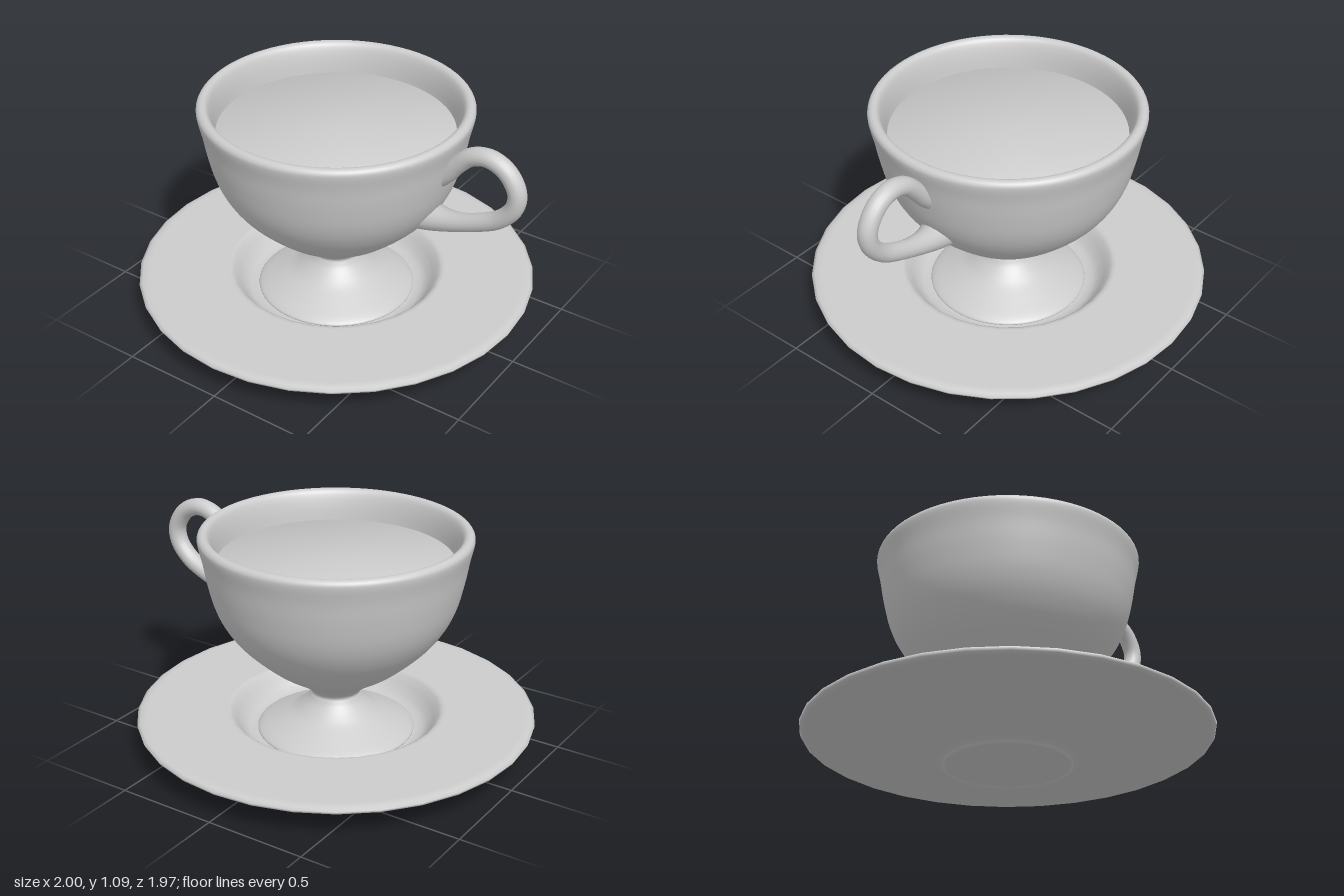
import * as THREE from 'three';

const material = new THREE.MeshStandardMaterial({ color: 0xcccccc, side: THREE.DoubleSide });
const v2 = (pairs) => pairs.map(([x, y]) => new THREE.Vector2(x, y));

function addMesh(parent, name, geometry) {
  const mesh = new THREE.Mesh(geometry, material);
  mesh.name = name;
  parent.add(mesh);
}

// Tube in the xy plane whose in-plane and sideways radii depend on the position along it
function taperedTube(points, segments, sides, radiusAt) {
  const path = new THREE.CatmullRomCurve3(points.map(([x, y]) => new THREE.Vector3(x, y, 0)));
  const geometry = new THREE.TubeGeometry(path, segments, 1, sides);
  const pos = geometry.attributes.position;
  const p = new THREE.Vector3();
  for (let i = 0; i <= segments; i++) {
    const t = i / segments;
    const centre = path.getPointAt(t);
    const [inPlane, across] = radiusAt(t);
    for (let j = 0; j <= sides; j++) {
      const k = i * (sides + 1) + j;
      p.fromBufferAttribute(pos, k).sub(centre);
      pos.setXYZ(k, centre.x + p.x * inPlane, centre.y + p.y * inPlane, p.z * across);
    }
  }
  return geometry;
}

export function createModel() {
  const model = new THREE.Group();
  model.name = 'cupAndSaucer';
  const body = new THREE.Group();
  body.name = 'turnedParts';
  body.position.x = -0.017;
  model.add(body);

  // Saucer: low base, sloping underside, flat top and sunken well
  const saucerProfile = v2([
    [0, 0], [0.29, 0], [0.31, 0], [0.31, 0.02], [0.38, 0.024], [0.46, 0.034], [0.7, 0.078],
    [0.96, 0.127], [0.978, 0.137], [0.983, 0.15], [0.968, 0.16], [0.945, 0.165], [0.93, 0.165],
    [0.545, 0.165], [0.53, 0.165], [0.512, 0.154], [0.488, 0.12], [0.46, 0.08], [0.43, 0.058],
    [0.39, 0.05], [0, 0.05],
  ]);
  addMesh(body, 'saucer', new THREE.LatheGeometry(saucerProfile, 32));

  // Cup: flared foot, narrow neck, bowl and rounded lip continuing down inside
  const cupProfile = new THREE.SplineCurve(v2([
    [0.375, 0.051], [0.388, 0.064], [0.362, 0.085], [0.285, 0.122], [0.21, 0.16], [0.155, 0.205],
    [0.128, 0.24], [0.125, 0.27], [0.19, 0.326], [0.325, 0.417], [0.46, 0.54], [0.537, 0.64],
    [0.584, 0.74], [0.615, 0.86], [0.635, 0.97], [0.653, 1.05], [0.65, 1.078], [0.631, 1.091],
    [0.608, 1.084], [0.592, 1.055], [0.578, 1.0], [0.568, 0.93],
  ]));
  addMesh(body, 'cup', new THREE.LatheGeometry(cupProfile.getPoints(110), 72));

  // Drink: softly shaded body with a level top
  const drinkProfile = v2([[0, 0.4], [0.4, 0.55], [0.52, 0.72], [0.569, 0.94], [0, 0.94]]);
  addMesh(body, 'drink', new THREE.LatheGeometry(drinkProfile, 72));

  // Handle: loop that widens as it sinks into the bowl
  const handlePath = [
    [0.53, 0.85], [0.6, 0.91], [0.65, 0.968], [0.718, 1.028], [0.805, 1.048], [0.895, 1.01],
    [0.952, 0.92], [0.943, 0.838], [0.875, 0.757], [0.76, 0.697], [0.65, 0.66], [0.55, 0.645],
    [0.44, 0.65],
  ];
  addMesh(model, 'handle', taperedTube(handlePath, 80, 16, (t) => {
    const upper = Math.max(0, 1 - t / 0.16) ** 2;
    const lower = Math.max(0, (t - 0.74) / 0.26) ** 2;
    return [0.043 + 0.012 * upper + 0.04 * lower, 0.047 + 0.04 * upper + 0.07 * lower];
  }));

  return model;
}
